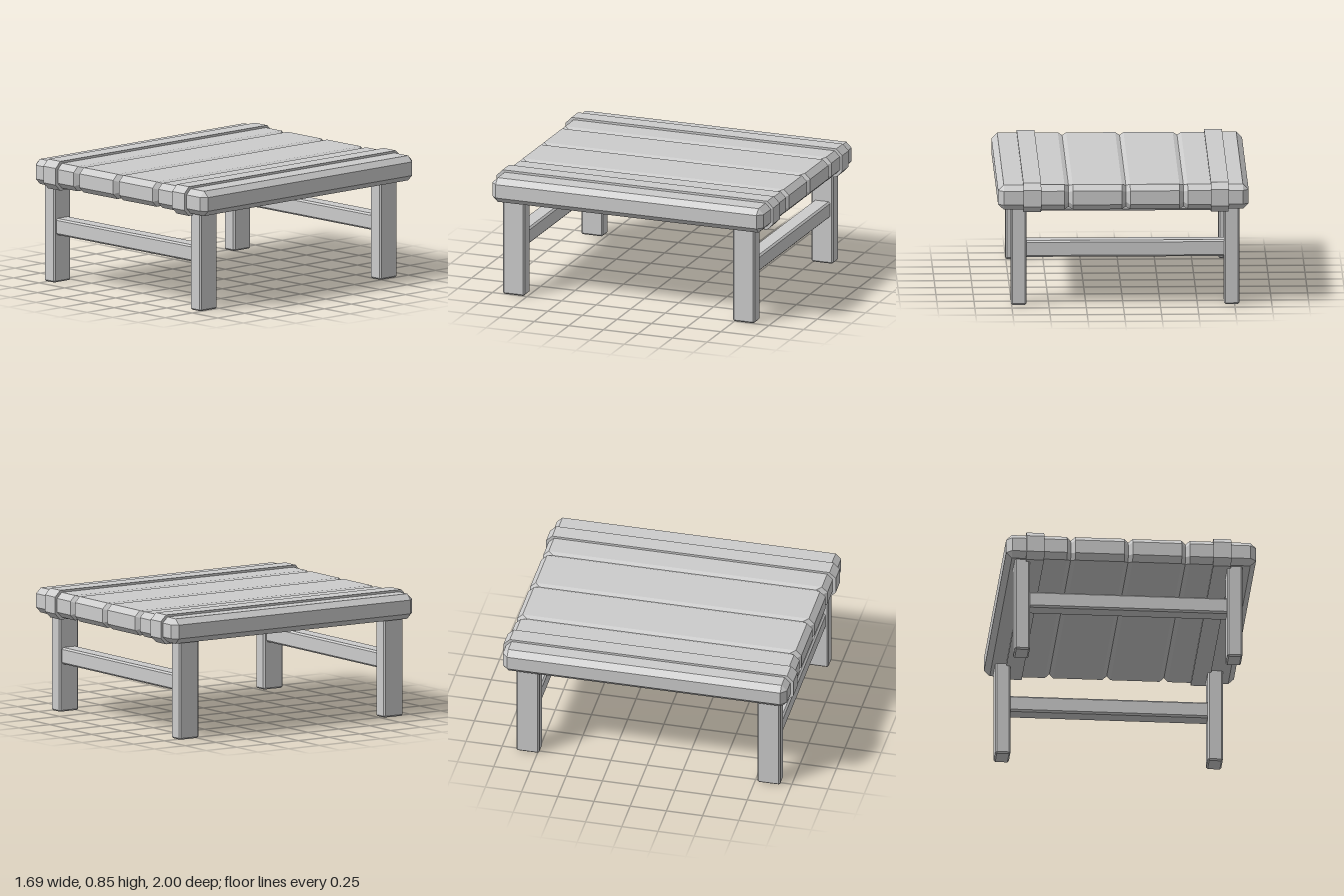
import * as THREE from 'three';

const material = new THREE.MeshStandardMaterial({ color: 0xcccccc, flatShading: true });

// Loft along x through bevelled rectangles: stations are [x, half height, half depth, bevel]
function loft(stations) {
  const pos = [], index = [];
  for (const [x, h, w, b] of stations) {
    const ring = [[h, b - w], [h, w - b], [h - b, w], [b - h, w], [-h, w - b], [-h, b - w], [b - h, -w], [h - b, -w]];
    for (const [y, z] of ring) pos.push(x, y, z);
  }
  const last = (stations.length - 1) * 8;
  for (let i = 0; i < last; i += 8) {
    for (let j = 0; j < 8; j++) {
      const a = i + j, b = i + (j + 1) % 8;
      index.push(a, b, b + 8, a, b + 8, a + 8);
    }
  }
  // end caps
  for (let j = 1; j < 7; j++) {
    index.push(0, j + 1, j, last, last + j, last + j + 1);
  }
  const geo = new THREE.BufferGeometry();
  geo.setAttribute('position', new THREE.Float32BufferAttribute(pos, 3));
  geo.setIndex(index);
  const flat = geo.toNonIndexed();
  flat.computeVertexNormals();
  return flat;
}

// Box of given length along x with every edge bevelled
function bevelBar(length, height, depth, b) {
  const l = length / 2, h = height / 2, w = depth / 2;
  return loft([[-l, h - b, w - b, 0], [b - l, h, w, b], [l - b, h, w, b], [l, h - b, w - b, 0]]);
}

export function createModel() {
  const group = new THREE.Group();
  const add = (name, geo, x, y, z) => {
    const mesh = new THREE.Mesh(geo, material);
    mesh.name = name;
    mesh.position.set(x, y, z);
    group.add(mesh);
  };

  // Table top: bevelled slab with shallow V grooves between the planks
  const h = 0.085, w = 0.981, b = 0.038;
  const stations = [[-0.843, h - b, w - b, 0], [-0.804, h, w, b]];
  for (const x of [-0.405, -0.018, 0.368]) {
    stations.push([x - 0.028, h, w, b], [x, h - 0.012, w - 0.036, b], [x + 0.028, h, w, b]);
  }
  stations.push([0.804, h, w, b], [0.843, h - b, w - b, 0]);
  add('tableTop', loft(stations), 0, 0.748, -0.002);

  // Raised bands wrapped around the top
  for (const [name, x] of [['rightBand', -0.648], ['leftBand', 0.613]]) {
    add(name, loft([[-0.06, 0.1, 1, 0.043], [0.06, 0.1, 1, 0.043]]), x, 0.748, 0);
  }

  // Legs, and a rail between each pair
  const leg = bevelBar(0.69, 0.102, 0.157, 0.01).rotateZ(Math.PI / 2);
  const rail = bevelBar(1.38, 0.113, 0.12, 0.012);
  for (const [end, z] of [['front', 0.847], ['back', -0.817]]) {
    add(end + 'RightLeg', leg, -0.731, 0.345, z);
    add(end + 'LeftLeg', leg, 0.702, 0.345, z);
    add(end + 'Rail', rail, -0.015, 0.381, z);
  }
  return group;
}
